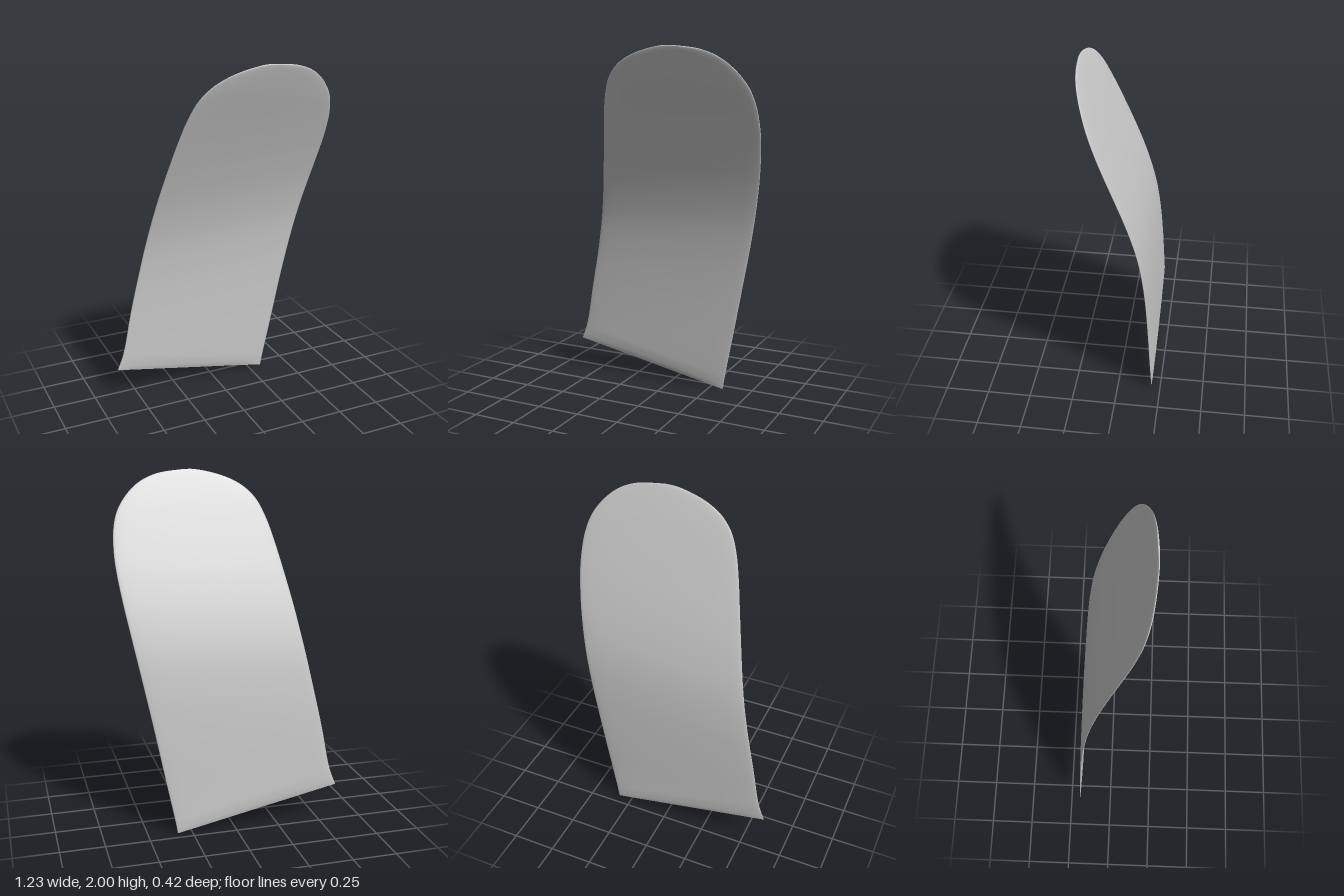
import * as THREE from 'three';

const curve = (pts) => new THREE.CatmullRomCurve3(pts.map(([x, y]) => new THREE.Vector3(x, y, 0)));

// Outline edges, paired from the cut base to the rounded tip
const edgeA = curve([[-0.62, 0.188], [-0.582, 0.29], [-0.53, 0.55], [-0.48, 0.78], [-0.43, 1.02], [-0.38, 1.27],
  [-0.33, 1.5], [-0.302, 1.62], [-0.27, 1.73], [-0.224, 1.83], [-0.158, 1.9], [-0.078, 1.946], [0.02, 1.979], [0.125, 1.999], [0.185, 2]]);
const edgeB = curve([[0.333, 0], [0.347, 0.08], [0.402, 0.36], [0.452, 0.62], [0.502, 0.87], [0.553, 1.13],
  [0.59, 1.34], [0.61, 1.5], [0.613, 1.59], [0.606, 1.687], [0.579, 1.782], [0.522, 1.867], [0.442, 1.936], [0.34, 1.979], [0.185, 2]]);

// Forward bend: depth at every 0.2 of height, from -0.2 to 2.2
const bend = [-0.208, -0.198, -0.189, -0.182, -0.173, -0.159, -0.133, -0.086, -0.022, 0.052, 0.13, 0.21, 0.29];
function depthAt(x, y) {
  // the bend axis leans slightly across the width
  const f = THREE.MathUtils.clamp((y - 0.06 * (x + 0.2 - 0.2 * y)) / 0.2 + 1, 1, 10.999);
  const i = Math.floor(f), t = f - i;
  const m0 = (bend[i + 1] - bend[i - 1]) / 2;
  const m1 = (bend[Math.min(i + 2, 12)] - bend[i]) / 2;
  return bend[i] * (2 * t ** 3 - 3 * t * t + 1) + m0 * (t ** 3 - 2 * t * t + t)
    + bend[i + 1] * (3 * t * t - 2 * t ** 3) + m1 * (t ** 3 - t * t);
}

// Thin, curved blade lofted from flattened oval cross-sections
function bladeGeometry(rows = 84, ring = 48, half = 0.011) {
  const pos = [], idx = [];
  for (let i = 0; i <= rows; i++) {
    const v = i / rows;
    const a = edgeA.getPoint(v), b = edgeB.getPoint(v);
    const taper = Math.sqrt(Math.min(1, v / 0.06, (1 - v) / 0.3));
    for (let j = 0; j < ring; j++) {
      const ang = (j / ring) * Math.PI * 2;
      const p = a.clone().lerp(b, (Math.cos(ang) + 1) / 2);
      const s = j % (ring / 2) === 0 ? 0 : Math.sin(ang);
      const t = half * taper * Math.sign(s) * Math.abs(s) ** 0.8;
      const slope = (depthAt(p.x, p.y + 0.01) - depthAt(p.x, p.y - 0.01)) / 0.02;
      const n = Math.hypot(1, slope);
      pos.push(p.x, p.y - (t * slope) / n, depthAt(p.x, p.y) + t / n);
      if (i < rows) {
        const k = (j + 1) % ring, o = i * ring, q = o + ring;
        idx.push(o + j, q + j, o + k, o + k, q + j, q + k);
      }
    }
  }
  const g = new THREE.BufferGeometry();
  g.setAttribute('position', new THREE.Float32BufferAttribute(pos, 3));
  g.setIndex(idx);
  g.computeVertexNormals();
  return g;
}

export function createModel() {
  const group = new THREE.Group();
  const material = new THREE.MeshStandardMaterial({ color: 0xcccccc, side: THREE.DoubleSide });
  const blade = new THREE.Mesh(bladeGeometry(), material);
  blade.name = 'curvedBlade';
  group.add(blade);
  return group;
}
